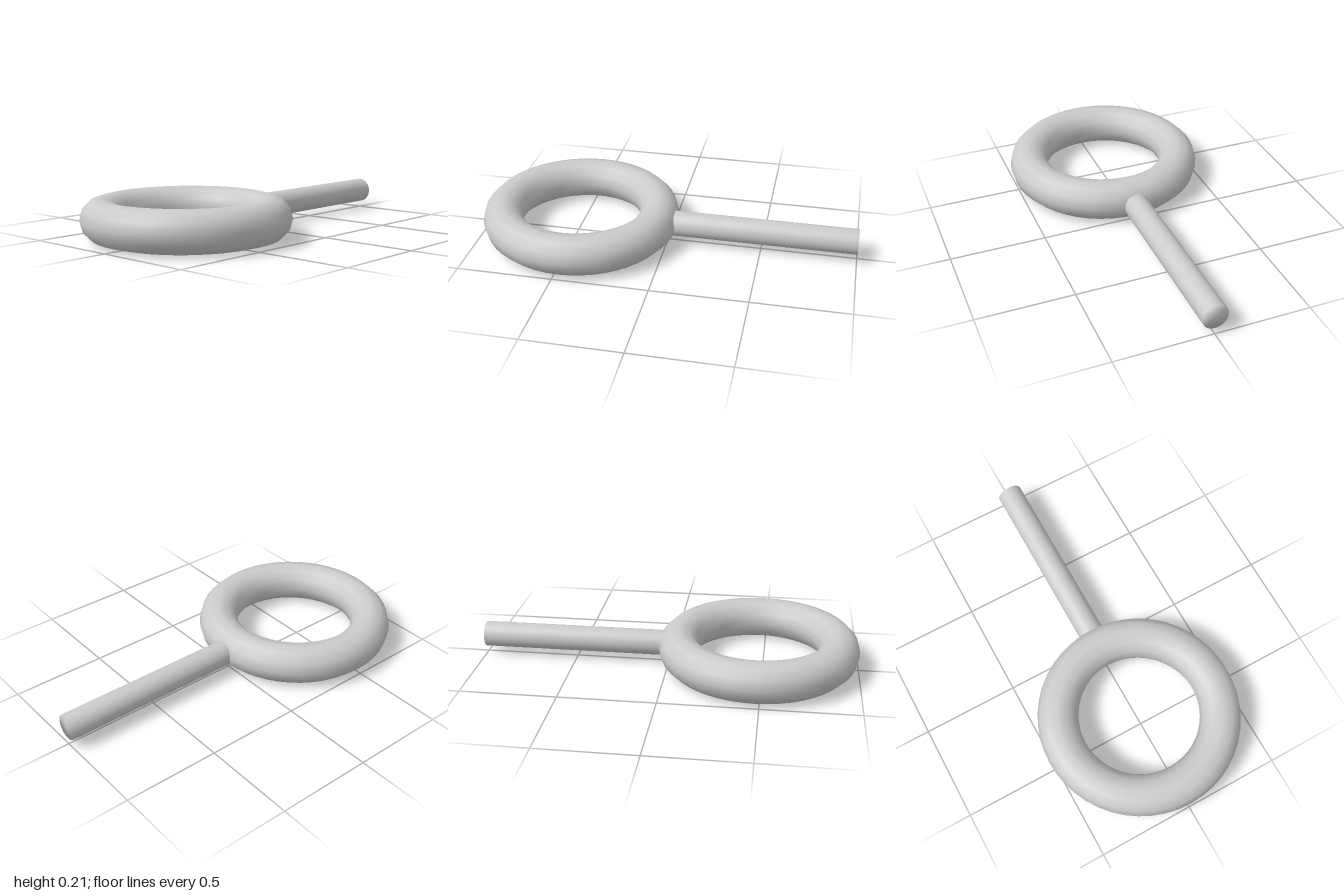
import * as THREE from 'three';

export function createModel() {
  const group = new THREE.Group();
  const material = new THREE.MeshStandardMaterial({ color: 0xcccccc });

  // Ring lying flat, with a twelve-sided section
  const ring = new THREE.Mesh(new THREE.TorusGeometry(0.42, 0.106, 12, 48), material);
  ring.name = 'ring';
  ring.rotation.x = -Math.PI / 2;
  ring.position.set(-0.475, 0.106, 0);
  group.add(ring);

  // Straight rod with closed ends, butting against the ring's outer side
  const start = 0.035, radius = 0.067, length = 1 - start;
  const profile = [[0, 0], [radius, 0], [radius, length], [0, length]]
    .map(([x, y]) => new THREE.Vector2(x, y));
  const rod = new THREE.Mesh(new THREE.LatheGeometry(profile, 32), material);
  rod.name = 'rod';
  rod.rotation.z = -Math.PI / 2;
  rod.position.set(start, 0.102, 0);
  group.add(rod);

  return group;
}
